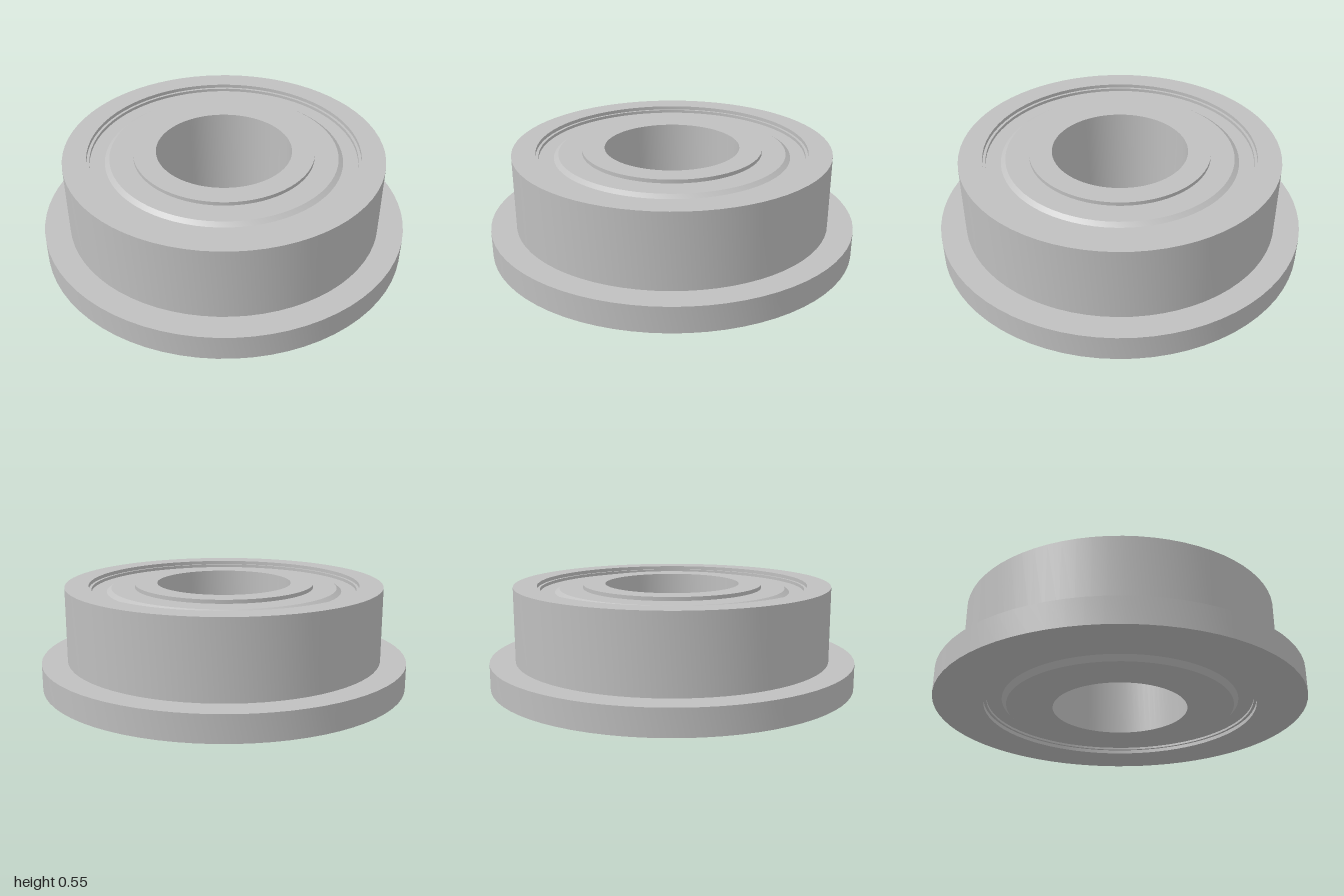
import * as THREE from 'three';
import { toCreasedNormals } from 'three/addons/utils/BufferGeometryUtils.js';

const SEGMENTS = 72;

// Revolve a closed (radius, height) profile, listed counter-clockwise
function ring(name, profile, material) {
  const points = [...profile, profile[0]].map(([r, y]) => new THREE.Vector2(r, y));
  const geometry = toCreasedNormals(new THREE.LatheGeometry(points, SEGMENTS), 0.4);
  const mesh = new THREE.Mesh(geometry, material);
  mesh.name = name;
  return mesh;
}

export function createModel() {
  const steel = new THREE.MeshStandardMaterial({ color: 0xbfbfbf });
  steel.name = 'steel grey';

  const model = new THREE.Group();
  model.name = 'flangedBearing';

  // Outer race with the flange at its foot and a small seat for each shield
  model.add(ring('outerRing', [
    [0.735, 0], [1, 0], [1, 0.14], [0.862, 0.14], [0.862, 0.545],
    [0.735, 0.545], [0.735, 0.525], [0.72, 0.525], [0.72, 0.02], [0.735, 0.02],
  ], steel));

  // Inner race with the raised collar on top and bevelled shoulders
  model.add(ring('innerRing', [
    [0.366, 0.005], [0.615, 0.005], [0.64, 0.032], [0.64, 0.508],
    [0.615, 0.525], [0.488, 0.525], [0.488, 0.545], [0.366, 0.545],
  ], steel));

  // Recessed shields closing the gap between the races
  for (const [name, y] of [['topShield', 0.488], ['bottomShield', 0.032]]) {
    model.add(ring(name, [[0.63, y], [0.725, y], [0.725, y + 0.02], [0.63, y + 0.02]], steel));
  }

  return model;
}
